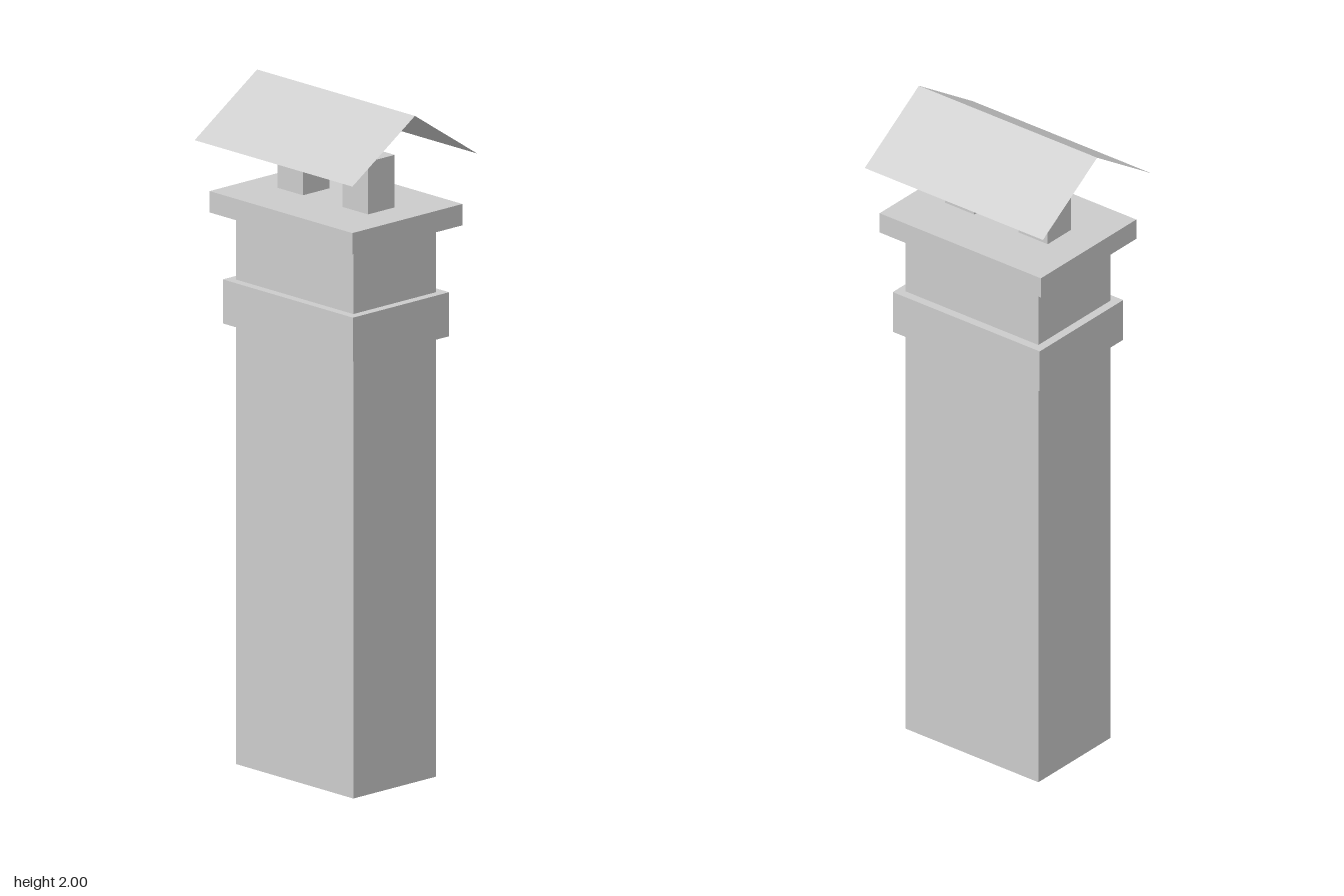
import * as THREE from 'three';

const material = new THREE.MeshStandardMaterial({
  color: 0xcccccc, flatShading: true, side: THREE.DoubleSide,
});

function addMesh(parent, name, geometry) {
  const mesh = new THREE.Mesh(geometry, material);
  mesh.name = name;
  parent.add(mesh);
  return mesh;
}

// Skin through stacked rectangles, each given as [half width, half depth, y]
function rectangularSkin(sections) {
  const corners = [[1, 1], [1, -1], [-1, -1], [-1, 1]];
  const point = ([w, d, y], i) => [corners[i % 4][0] * w, y, corners[i % 4][1] * d];
  const positions = [];
  for (let s = 0; s < sections.length - 1; s++) {
    for (let i = 0; i < 4; i++) {
      const a = point(sections[s], i), b = point(sections[s], i + 1);
      const c = point(sections[s + 1], i + 1), d = point(sections[s + 1], i);
      positions.push(...a, ...b, ...c, ...a, ...c, ...d);
    }
  }
  const geometry = new THREE.BufferGeometry();
  geometry.setAttribute('position', new THREE.Float32BufferAttribute(positions, 3));
  geometry.computeVertexNormals();
  return geometry;
}

export function createModel() {
  const chimney = new THREE.Group();
  chimney.name = 'chimney';

  // Hollow shaft, open at the bottom, with a projecting band
  const w = 0.242, d = 0.162;
  addMesh(chimney, 'shaft', rectangularSkin([
    [w, d, 0], [w, d, 1.3],
    [0.268, 0.188, 1.3], [0.268, 0.188, 1.43],
    [w, d, 1.43], [w, d, 1.63],
  ]));

  // Slab on top of the shaft
  addMesh(chimney, 'capSlab', new THREE.BoxGeometry(0.588, 0.063, 0.43))
    .position.y = 1.659;

  // Two posts under the roof
  for (const side of [-1, 1]) {
    addMesh(chimney, side > 0 ? 'leftPost' : 'rightPost', new THREE.BoxGeometry(0.106, 0.155, 0.104))
      .position.set(side * 0.134, 1.768, 0);
  }

  // Thin gabled roof: a flat sheet folded along the ridge
  const sheet = new THREE.PlaneGeometry(0.65, 0.488, 1, 2).rotateX(-Math.PI / 2);
  const p = sheet.attributes.position;
  for (let i = 0; i < p.count; i++) p.setY(i, 2 - 0.16 * Math.abs(p.getZ(i)) / 0.244);
  const roof = sheet.toNonIndexed();
  roof.computeVertexNormals();
  addMesh(chimney, 'roof', roof);

  return chimney;
}
